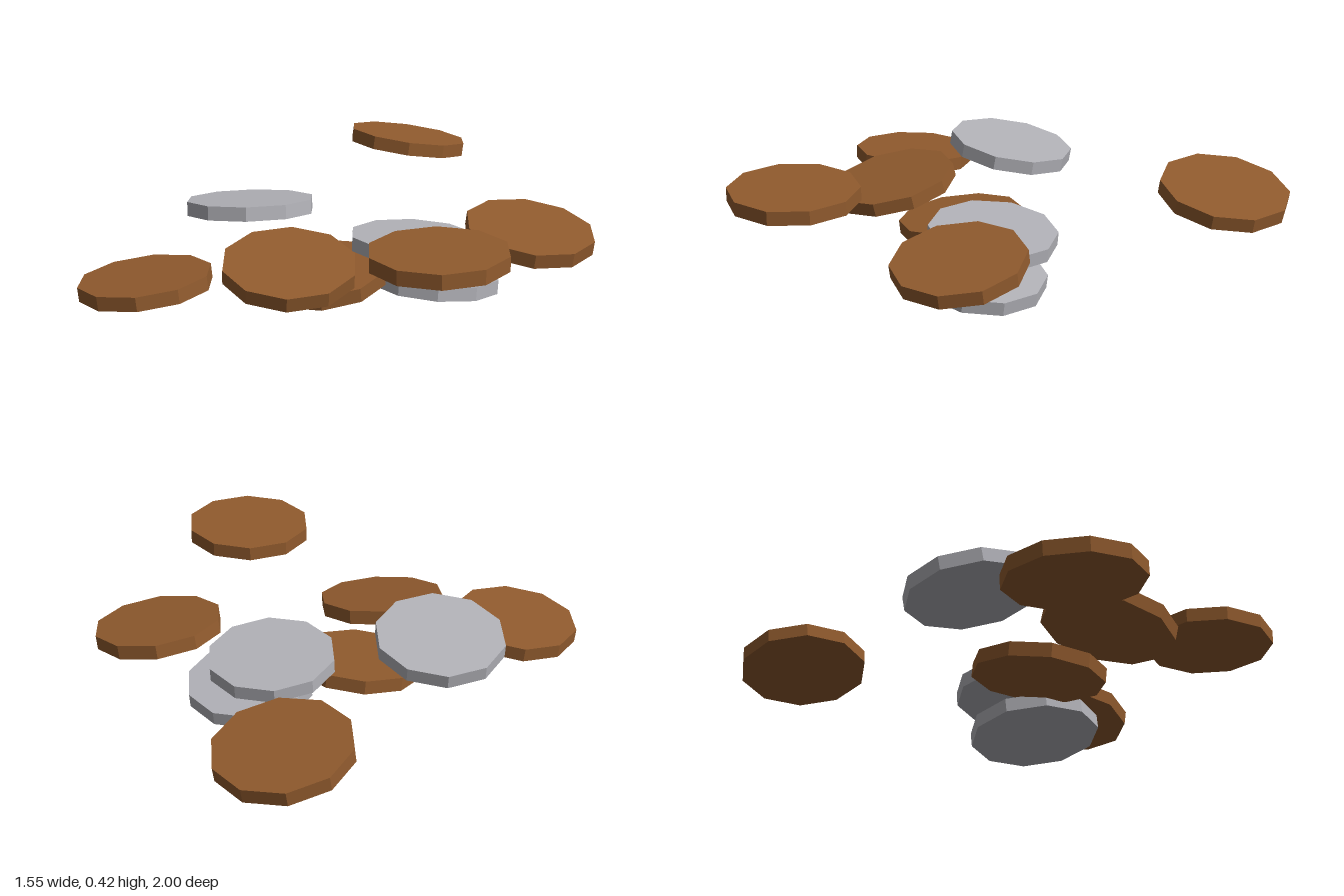
import * as THREE from 'three';

const RADIUS = 0.244;
const THICKNESS = 0.053;

// Each coin: centre, then the slope of its face along x and along z
const COPPER_COINS = [
  { at: [-0.445, 0.35, -0.757], slopeX: -0.05, slopeZ: 0.17 },
  { at: [0.481, 0.269, -0.214], slopeX: -0.165, slopeZ: -0.02 },
  { at: [0.541, 0.39, 0.478], slopeX: 0.008, slopeZ: 0 },
  { at: [-0.544, 0.147, 0.752], slopeX: 0.095, slopeZ: -0.025 },
  { at: [-0.08, 0.225, 0.502], slopeX: -0.16, slopeZ: -0.14 },
  { at: [-0.147, 0.104, 0.224], slopeX: 0, slopeZ: -0.13 },
];
const SILVER_COINS = [
  { at: [-0.491, 0.309, 0.222], slopeX: 0.11, slopeZ: 0.13 },
  { at: [0.063, 0.19, -0.069], slopeX: 0, slopeZ: 0.09 },
  { at: [0.154, 0.06, -0.082], slopeX: 0, slopeZ: 0.13 },
];

export function createModel() {
  const group = new THREE.Group();
  group.name = 'scatteredCoins';

  const copper = new THREE.MeshStandardMaterial({ color: 0x915b2e, flatShading: true });
  copper.name = 'copper';
  const silver = new THREE.MeshStandardMaterial({ color: 0xb2b2b8, flatShading: true });
  silver.name = 'silver';

  // Ten-sided disc shared by every coin
  const disc = new THREE.CylinderGeometry(RADIUS, RADIUS, THICKNESS, 10);

  const addCoins = (coins, material, name) => {
    coins.forEach(({ at, slopeX, slopeZ }, i) => {
      const coin = new THREE.Mesh(disc, material);
      coin.name = `${name}${i + 1}`;
      coin.position.set(...at);
      coin.rotation.set(-Math.atan(slopeZ), 0, Math.atan(slopeX));
      group.add(coin);
    });
  };
  addCoins(COPPER_COINS, copper, 'copperCoin');
  addCoins(SILVER_COINS, silver, 'silverCoin');

  return group;
}
